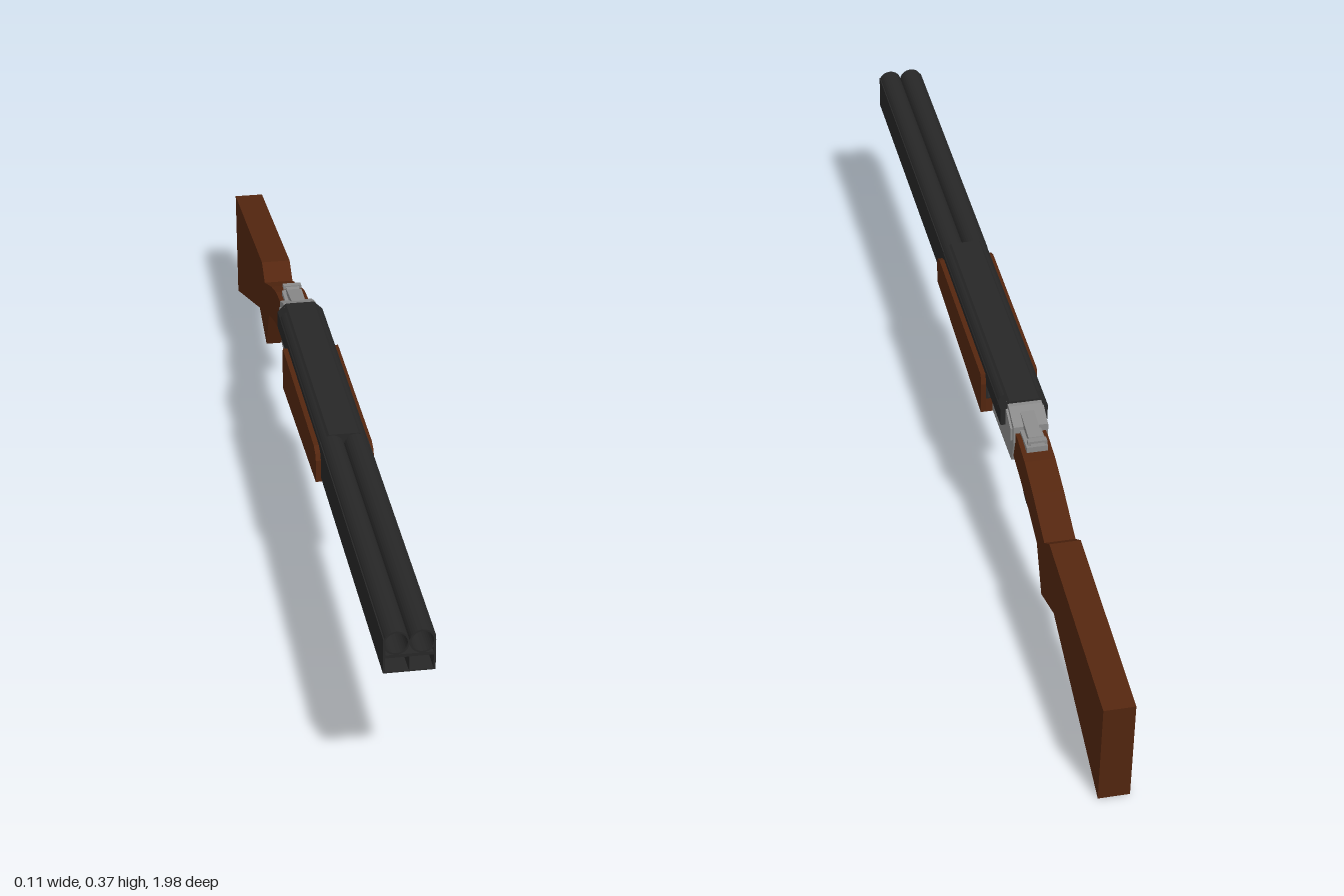
import * as THREE from 'three';

const material = (color) => new THREE.MeshStandardMaterial({ color, flatShading: true });

export function createModel() {
  const model = new THREE.Group();
  const wood = material(0x54260f);
  const black = material(0x272727);
  const dark = material(0x151515);
  const steel = material(0x8a8a8a);

  const add = (parent, name, geometry, mat) => {
    const mesh = new THREE.Mesh(geometry, mat);
    mesh.name = name;
    parent.add(mesh);
    return mesh;
  };
  const polygon = (points) => new THREE.Shape(points.map(([a, b]) => new THREE.Vector2(a, b)));
  const extrude = (shape, depth, curveSegments = 16) =>
    new THREE.ExtrudeGeometry(shape, { depth, bevelEnabled: false, curveSegments });
  // Side outline in (z, y), given a width across x
  const sidePlate = (shape, width, x = 0) =>
    extrude(shape, width).rotateY(-Math.PI / 2).translate(x + width / 2, 0, 0);
  const box = (w, h, d, x, y, z) => new THREE.BoxGeometry(w, h, d).translate(x, y, z);

  // Stock with wrist, grip and sloping butt
  add(model, 'stock', sidePlate(polygon([
    [-0.265, 0.31], [-0.32, 0.312], [-0.38, 0.303], [-0.45, 0.28], [-0.545, 0.24],
    [-0.585, 0.267], [-1, 0.22], [-0.975, 0], [-0.625, 0.14], [-0.525, 0.107],
    [-0.485, 0.195], [-0.41, 0.222], [-0.345, 0.238], [-0.265, 0.255],
  ]), 0.058), wood);

  // Barrel assembly, pitched slightly up towards the muzzle
  const barrels = new THREE.Group();
  barrels.name = 'barrelAssembly';
  barrels.rotation.x = -0.0185;
  model.add(barrels);

  for (const side of [-1, 1]) {
    const tube = new THREE.Shape().absarc(side * 0.0225, 0.3265, 0.0228, 0, Math.PI * 2);
    tube.holes.push(new THREE.Path().absarc(side * 0.0225, 0.3265, 0.0195, 0, Math.PI * 2, true));
    add(barrels, side > 0 ? 'leftBarrel' : 'rightBarrel', extrude(tube, 1.2).translate(0, 0, -0.21), black);
    add(barrels, 'bore', new THREE.CircleGeometry(0.02, 24).translate(side * 0.0225, 0.3265, 0.85), dark);
    // Slim rail beside each barrel
    add(barrels, 'sideRail', box(0.004, 0.036, 0.69, side * 0.043, 0.318, 0.645), black);
  }

  // Lower block with two square channels open at the muzzle
  const lower = polygon([[-0.045, 0.2685], [0.045, 0.2685], [0.045, 0.304], [-0.045, 0.304]]);
  for (const x of [-0.0415, 0.001]) {
    const hole = new THREE.Path();
    hole.moveTo(x, 0.271).lineTo(x, 0.298).lineTo(x + 0.0405, 0.298).lineTo(x + 0.0405, 0.271).closePath();
    lower.holes.push(hole);
  }
  add(barrels, 'lowerBlock', extrude(lower, 1.1).translate(0, 0, -0.11), black);
  add(barrels, 'channelBack', box(0.085, 0.03, 0.01, 0, 0.284, 0.93), dark);

  // Flat-topped breech cover with chamfered shoulders
  add(barrels, 'breechCover', extrude(polygon([
    [-0.045, 0.3], [0.045, 0.3], [0.045, 0.334], [0.028, 0.351], [-0.028, 0.351], [-0.045, 0.334],
  ]), 0.545).translate(0, 0, -0.24), black);

  // Fore-end: two walls around a tapering floor
  for (const side of [-1, 1]) {
    add(model, side > 0 ? 'leftForeEndWall' : 'rightForeEndWall', sidePlate(polygon([
      [0.31, 0.265], [0.31, 0.31], [0.303, 0.322], [0.285, 0.329], [-0.11, 0.32], [-0.115, 0.3], [-0.11, 0.233],
    ]), 0.01, side * 0.0495), wood);
  }
  add(model, 'foreEndFloor', sidePlate(polygon([
    [0.31, 0.265], [0.31, 0.273], [-0.11, 0.268], [-0.11, 0.233],
  ]), 0.09), wood);

  // Receiver body and standing breech
  add(model, 'receiver', sidePlate(polygon([
    [-0.1, 0.237], [-0.1, 0.3], [-0.236, 0.3], [-0.236, 0.343], [-0.255, 0.342],
    [-0.3, 0.325], [-0.3, 0.29], [-0.28, 0.238],
  ]), 0.064), steel);
  for (const side of [-1, 1]) {
    add(model, 'breechCheek', sidePlate(polygon([
      [-0.236, 0.29], [-0.236, 0.325], [-0.25, 0.334], [-0.29, 0.316], [-0.29, 0.29],
    ]), 0.006, side * 0.033), steel);
  }
  add(model, 'tang', box(0.04, 0.014, 0.075, 0, 0.311, -0.32), steel);

  // Opening lever with a raised thumb pad
  add(model, 'topLever', sidePlate(polygon([
    [-0.27, 0.325], [-0.27, 0.338], [-0.34, 0.328], [-0.358, 0.332], [-0.362, 0.323], [-0.335, 0.317],
  ]), 0.026), steel);
  add(model, 'thumbPad', box(0.036, 0.008, 0.012, 0, 0.328, -0.354), steel);

  // Trigger guard loop and trigger
  const loop = new THREE.Shape().absellipse(-0.34, 0.206, 0.056, 0.036, 0, Math.PI * 2);
  loop.holes.push(new THREE.Path().absellipse(-0.34, 0.206, 0.052, 0.031, 0, Math.PI * 2, true));
  add(model, 'triggerGuard', sidePlate(loop, 0.028), black);
  add(model, 'trigger', sidePlate(polygon([
    [-0.345, 0.242], [-0.357, 0.242], [-0.361, 0.215], [-0.352, 0.187], [-0.348, 0.189], [-0.353, 0.215],
  ]), 0.012), black);

  return model;
}
